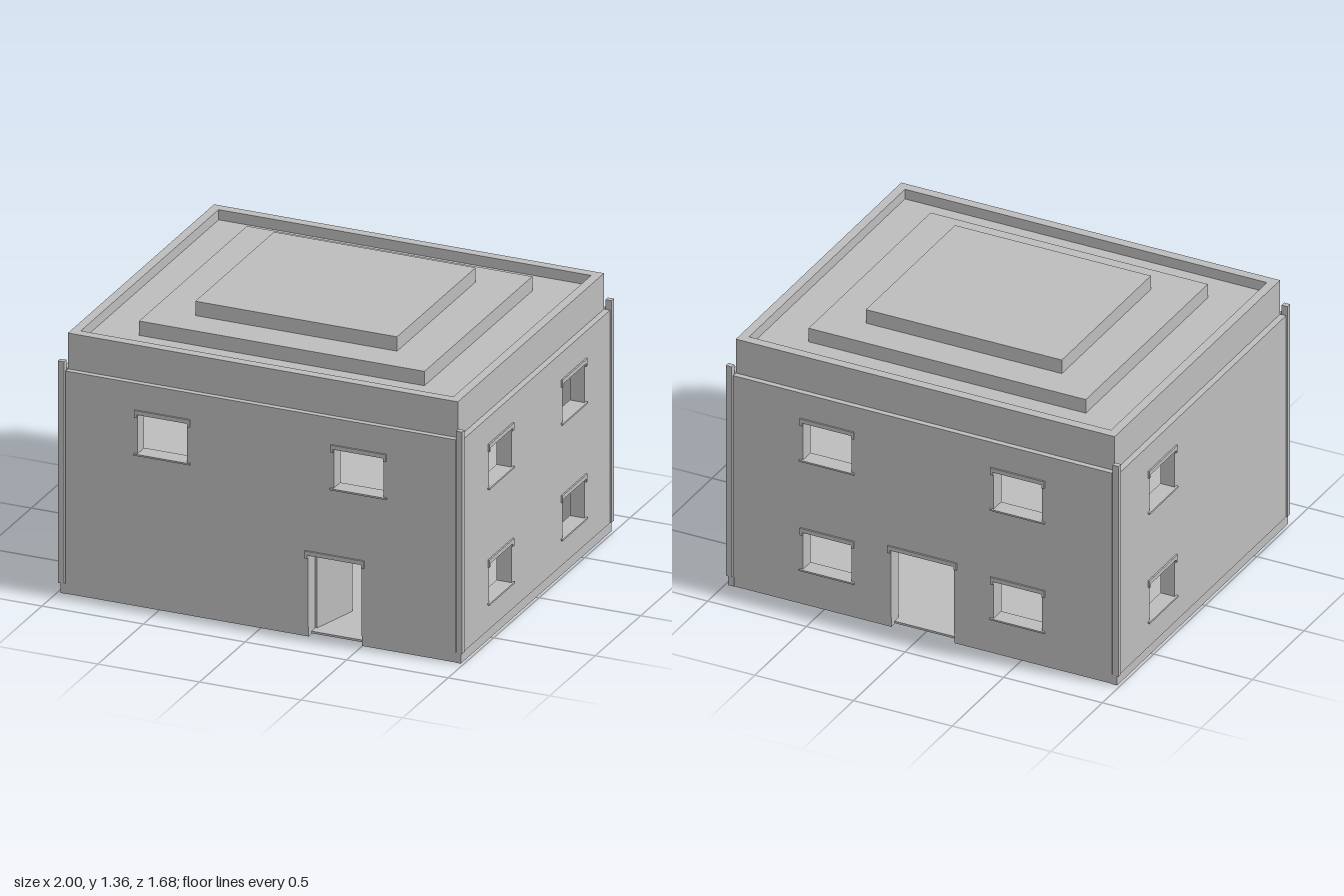
import * as THREE from 'three';

const T = 0.073;                                   // wall thickness
const stone = new THREE.MeshStandardMaterial({ color: 0xbcbcbc });
stone.name = 'stoneGrey';

function add(parent, name, geometry) {
  const m = new THREE.Mesh(geometry, stone);
  m.name = name;
  parent.add(m);
  return m;
}

// Box given by its minimum and maximum corners
function block(parent, name, x0, x1, y0, y1, z0, z1) {
  const m = add(parent, name, new THREE.BoxGeometry(x1 - x0, y1 - y0, z1 - z0));
  m.position.set((x0 + x1) / 2, (y0 + y1) / 2, (z0 + z1) / 2);
  return m;
}

function rectPath(x0, x1, y0, y1, PathType = THREE.Path) {
  const p = new PathType();
  p.moveTo(x0, y0);
  p.lineTo(x1, y0);
  p.lineTo(x1, y1);
  p.lineTo(x0, y1);
  p.closePath();
  return p;
}

// One wall with its windows, optional door, trims and plinth
function wall(parent, name, { angle, half, dist, windows, door }) {
  const g = new THREE.Group();
  g.name = name;
  g.rotation.y = angle;
  parent.add(g);

  // wall panel, with the door as a notch in its lower edge
  const shape = new THREE.Shape();
  shape.moveTo(-half, 0.05);
  if (door) {
    shape.lineTo(door[0], 0.05);
    shape.lineTo(door[0], 0.4);
    shape.lineTo(door[1], 0.4);
    shape.lineTo(door[1], 0.05);
  }
  shape.lineTo(half, 0.05);
  shape.lineTo(half, 1.09);
  shape.lineTo(-half, 1.09);
  shape.closePath();
  for (const [x, y] of windows) shape.holes.push(rectPath(x - 0.122, x + 0.122, y, y + 0.195));
  const panel = new THREE.ExtrudeGeometry(shape, { depth: T, bevelEnabled: false });
  panel.translate(0, 0, dist - T);
  add(g, 'wallPanel', panel);

  // plinth, interrupted by the door
  const runs = door ? [[-half, door[0]], [door[1], half]] : [[-half, half]];
  for (const [a, b] of runs) block(g, 'plinth', a, b, 0, 0.05, dist - T, dist - 0.004);

  // lintels with short drops, and sills
  const lintel = (x0, x1, y) => {
    block(g, 'lintel', x0, x1, y, y + 0.02, dist - 0.01, dist + 0.008);
    block(g, 'lintelEnd', x0, x0 + 0.013, y - 0.016, y, dist - 0.01, dist + 0.008);
    block(g, 'lintelEnd', x1 - 0.013, x1, y - 0.016, y, dist - 0.01, dist + 0.008);
  };
  for (const [x, y] of windows) {
    lintel(x - 0.137, x + 0.137, y + 0.195);
    block(g, 'sill', x - 0.139, x + 0.139, y - 0.005, y + 0.003, dist - T, dist + 0.01);
  }
  if (door) lintel(door[0] - 0.015, door[1] + 0.015, 0.4);
}

export function createModel() {
  const model = new THREE.Group();
  model.name = 'house';
  const low = 0.18, high = 0.745;

  wall(model, 'frontWall', {
    angle: 0, half: 0.96, dist: 0.83, door: [0.235, 0.497],
    windows: [[-0.483, high], [0.483, high]],
  });
  wall(model, 'backWall', {
    angle: Math.PI, half: 0.96, dist: 0.83, door: [-0.16, 0.16],
    windows: [[-0.483, low], [0.483, low], [-0.483, high], [0.483, high]],
  });
  wall(model, 'plusXWall', {
    angle: Math.PI / 2, half: 0.803, dist: 0.99,
    windows: [[-0.405, low], [0.4, low], [-0.405, high], [0.4, high]],
  });
  wall(model, 'minusXWall', {
    angle: -Math.PI / 2, half: 0.803, dist: 0.99,
    windows: [[-0.4, low], [-0.4, high]],
  });

  // corner posts and their feet
  for (const sx of [-1, 1]) for (const sz of [-1, 1]) {
    const post = add(model, 'cornerPost', new THREE.BoxGeometry(0.03, 1.085, 0.026));
    post.position.set(sx * 0.98, 0.5925, sz * 0.821);
    const foot = add(model, 'postFoot', new THREE.BoxGeometry(0.03, 0.05, 0.026));
    foot.position.set(sx * 0.971, 0.025, sz * 0.816);
  }

  // parapet ring
  const ring = rectPath(-0.96, 0.96, -0.803, 0.803, THREE.Shape);
  ring.holes.push(rectPath(-0.917, 0.917, -0.757, 0.757));
  const parapet = new THREE.ExtrudeGeometry(ring, { depth: 0.185, bevelEnabled: false });
  parapet.rotateX(-Math.PI / 2);
  parapet.translate(0, 1.08, 0);
  add(model, 'parapet', parapet);

  // floors, roof deck and stepped roof
  block(model, 'groundFloor', -0.955, 0.955, 0.004, 0.014, -0.795, 0.795);
  block(model, 'upperFloor', -0.93, 0.93, 0.54, 0.59, -0.77, 0.77);
  block(model, 'roofDeck', -0.93, 0.93, 1.16, 1.215, -0.77, 0.77);
  block(model, 'lowerRoofStep', -0.705, 0.7, 1.21, 1.285, -0.595, 0.59);
  block(model, 'upperRoofStep', -0.5, 0.493, 1.285, 1.355, -0.435, 0.43);

  // front door leaf, standing open inside
  const hinge = new THREE.Group();
  hinge.name = 'openDoor';
  hinge.position.set(0.238, 0, 0.75);
  hinge.rotation.y = 1.3;
  block(hinge, 'doorLeaf', 0, 0.25, 0.014, 0.36, -0.006, 0.006);
  model.add(hinge);

  return model;
}
